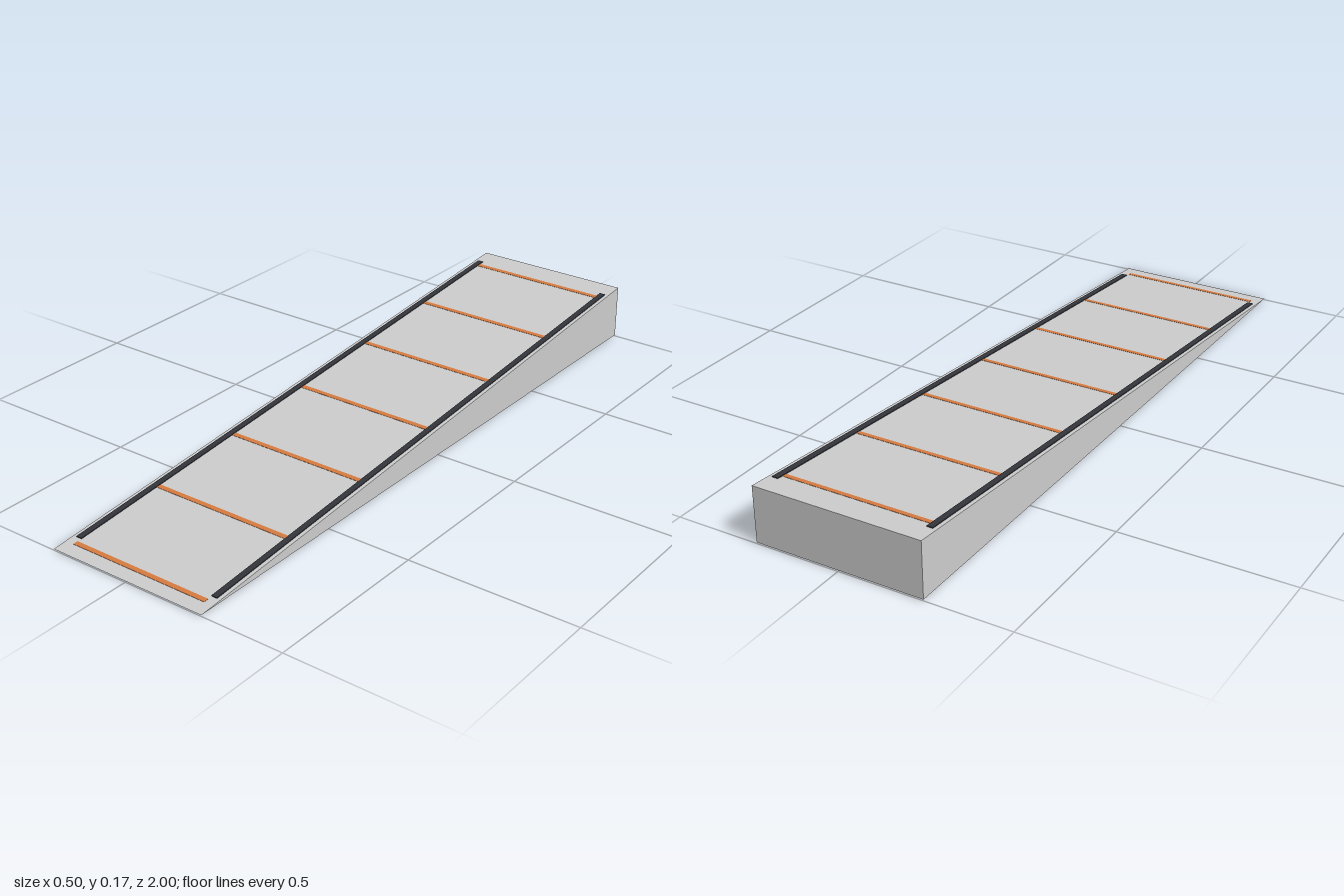
import * as THREE from 'three';

const BASE = 0.0035, TOP = 0.168;
const SLOPE = (TOP - BASE) / 2;
const TILT = Math.atan(SLOPE);
const surfaceY = (z) => BASE + (1 - z) * SLOPE;

export function createModel() {
  const group = new THREE.Group();
  const grey = new THREE.MeshStandardMaterial({ color: 0xcccccc, flatShading: true });
  const dark = new THREE.MeshStandardMaterial({ color: 0x33353b });
  const orange = new THREE.MeshStandardMaterial({ color: 0xd57a40 });

  // Wedge body: triangular side profile extruded across the width
  const profile = new THREE.Shape([
    new THREE.Vector2(-1, BASE),
    new THREE.Vector2(1, BASE),
    new THREE.Vector2(1, TOP),
  ]);
  const wedge = new THREE.ExtrudeGeometry(profile, { depth: 0.5, bevelEnabled: false });
  wedge.translate(0, 0, -0.25).rotateY(Math.PI / 2);
  const body = new THREE.Mesh(wedge, grey);
  body.name = 'rampBody';
  group.add(body);

  // Box lying along the slope, its centre offset from the surface
  function slopeBox(name, width, height, length, x, z, offset, material) {
    const mesh = new THREE.Mesh(new THREE.BoxGeometry(width, height, length), material);
    mesh.name = name;
    mesh.position.set(x, surfaceY(z) + offset, z);
    mesh.rotation.x = TILT;
    group.add(mesh);
  }

  // Edge rails
  for (const [name, side] of [['leftRail', 1], ['rightRail', -1]]) {
    slopeBox(name, 0.018, 0.005, 1.871, side * 0.23, -0.0025, 0, dark);
  }

  // Grip strips, sunk into the surface; the lowest pokes through the base
  for (let i = 0; i < 7; i++) {
    slopeBox('gripStrip' + (i + 1), 0.444, 0.0077, 0.015, 0, 0.95 - i * 0.31, -0.0031, orange);
  }

  return group;
}
